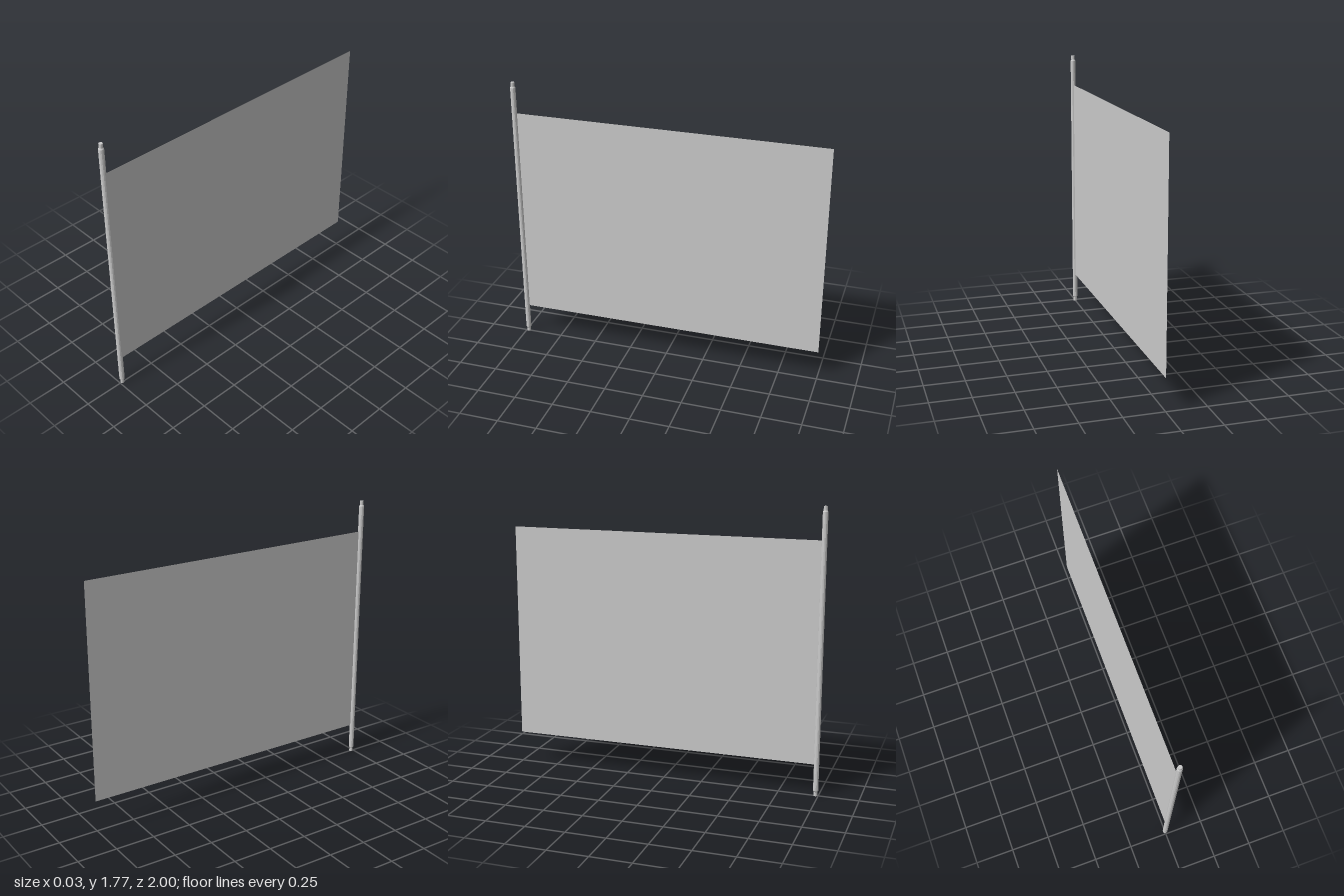
import * as THREE from 'three';

export function createModel() {
  const group = new THREE.Group();
  group.name = 'flag';
  const height = 1.775, radius = 0.0165, tipRadius = 0.012, tip = 0.026, poleZ = 1 - radius;

  // Pole: one turned profile with a narrower, slightly chamfered tip at each end
  const lower = [[0, 0], [tipRadius, 0], [tipRadius, tip], [radius, tip + 0.008]];
  const upper = lower.map(([r, y]) => [r, height - y]).reverse();
  const profile = [...lower, ...upper].map(([r, y]) => new THREE.Vector2(r, y));
  const pole = new THREE.Mesh(
    new THREE.LatheGeometry(profile, 12),
    new THREE.MeshStandardMaterial({ color: 0xcccccc, flatShading: true })
  );
  pole.name = 'pole';
  pole.position.z = poleZ;
  group.add(pole);

  // Cloth: a thin flat sheet running back from the pole
  const front = poleZ - 0.01, back = -1, bottom = 0.2, top = 1.575;
  const cloth = new THREE.Mesh(
    new THREE.PlaneGeometry(front - back, top - bottom),
    new THREE.MeshStandardMaterial({ color: 0xcccccc, side: THREE.DoubleSide })
  );
  cloth.name = 'cloth';
  cloth.rotation.y = Math.PI / 2;
  cloth.position.set(0, (top + bottom) / 2, (front + back) / 2);
  group.add(cloth);

  return group;
}
